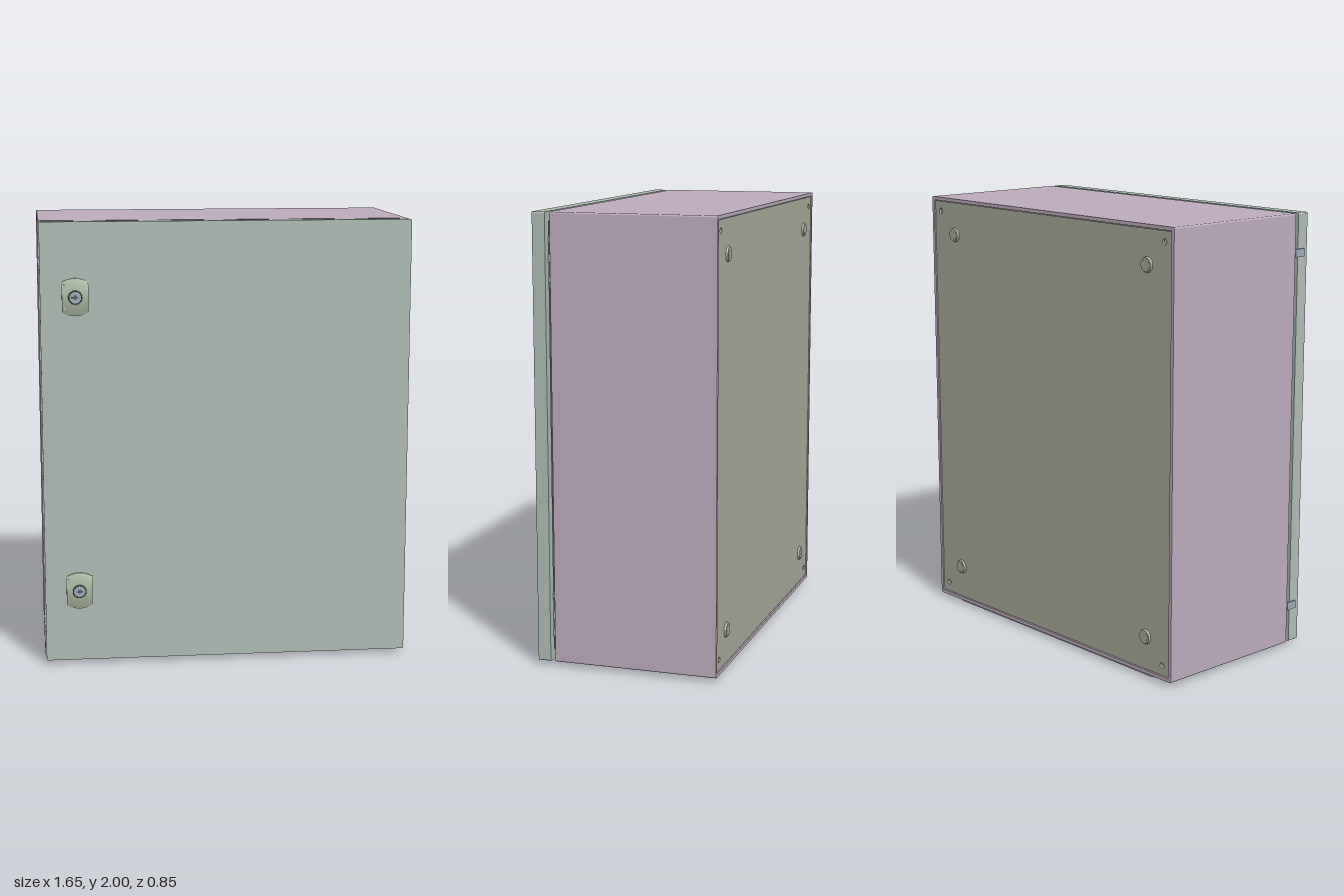
import * as THREE from 'three';

const material = (color) => new THREE.MeshStandardMaterial({ color, side: THREE.DoubleSide });
const MID = 1.01; // mid height of the cabinet

// Rounded rectangle outline centred on the origin
function outline(w, h, r, Type = THREE.Shape) {
  const s = new Type(), x = w / 2, y = h / 2;
  s.moveTo(-x + r, -y);
  s.lineTo(x - r, -y).absarc(x - r, -y + r, r, -Math.PI / 2, 0);
  s.lineTo(x, y - r).absarc(x - r, y - r, r, 0, Math.PI / 2);
  s.lineTo(-x + r, y).absarc(-x + r, y - r, r, Math.PI / 2, Math.PI);
  s.lineTo(-x, -y + r).absarc(-x + r, -y + r, r, Math.PI, Math.PI * 1.5);
  return s;
}

export function createModel() {
  const model = new THREE.Group();
  const bodyMat = material(0xbcabbc), doorMat = material(0xadbbb3), backMat = material(0xa8ac9c);
  const plateMat = material(0x9fa8ae), lockMat = material(0xa9b5a0), metalMat = material(0xa0abb8);
  const darkMat = material(0x555c60);

  function add(name, geometry, mat, x = 0, y = 0, z = 0, parent = model) {
    const mesh = new THREE.Mesh(geometry, mat);
    mesh.name = name;
    mesh.position.set(x, y, z);
    parent.add(mesh);
    return mesh;
  }
  const extrude = (shape, depth) =>
    new THREE.ExtrudeGeometry(shape, { depth, bevelEnabled: false, curveSegments: 6 });
  const box = (w, h, d) => new THREE.BoxGeometry(w, h, d);
  const disc = (rBack, rFront, depth) =>
    new THREE.CylinderGeometry(rFront, rBack, depth, 24).rotateX(Math.PI / 2);

  // Frame swept from z0 to z1, with a wall of the given width
  function frame(name, w, h, wall, z0, z1, mat, x = 0) {
    const s = outline(w, h, 0.008);
    s.holes.push(outline(w - 2 * wall, h - 2 * wall, 0.004, THREE.Path));
    return add(name, extrude(s, z1 - z0), mat, x, MID, z0);
  }

  // Sheet metal body: walls, front flange and raised sealing rim
  frame('bodyWalls', 1.65, 1.98, 0.016, -0.42, 0.32, bodyMat);
  frame('frontFlange', 1.63, 1.96, 0.07, 0.306, 0.319, bodyMat);
  frame('sealingRim', 1.53, 1.86, 0.015, 0.31, 0.345, bodyMat);

  // Back panel with a mounting hole in each corner and plugged bushings
  const back = outline(1.612, 1.942, 0.006);
  for (const sx of [-1, 1]) for (const sy of [-1, 1]) {
    const hole = new THREE.Path();
    hole.absarc(sx * 0.765, sy * 0.925, 0.013, 0, Math.PI * 2, true);
    back.holes.push(hole);
    add('cornerBushing', disc(0.013, 0.013, 0.02), backMat, sx * 0.765, MID + sy * 0.925, -0.395);
    add('wallPlug', disc(0.03, 0.037, 0.014), backMat, sx * 0.66, MID + sy * 0.82, -0.418);
    add('wallPlugCentre', disc(0.022, 0.025, 0.004), backMat, sx * 0.66, MID + sy * 0.82, -0.4235);
  }
  add('backPanel', extrude(back, 0.012), backMat, 0, MID, -0.416);

  // Door: front sheet with folded edges
  add('doorSheet', extrude(outline(1.645, 1.98, 0.006), 0.012), doorMat, 0.0025, MID, 0.388);
  frame('doorFold', 1.645, 1.98, 0.014, 0.342, 0.39, doorMat, 0.0025);
  frame('doorReturn', 1.64, 1.975, 0.04, 0.342, 0.35, doorMat, 0.0025);
  add('doorGasket', box(1.56, 1.89, 0.012), darkMat, 0, MID, 0.351);

  // Hinges on the left edge, clips on the opposite edge
  for (const s of [-1, 1]) {
    const hinge = new THREE.Group();
    hinge.name = 'hinge';
    model.add(hinge);
    for (const [off, h] of [[0.87, 0.03], [0.79, 0.035], [0.7, 0.025]]) {
      add('hingeKnuckle', box(0.03, h, 0.026), metalMat, 0.775, MID + s * off, 0.332, hinge);
    }
    add('hingePin', new THREE.CylinderGeometry(0.007, 0.007, 0.22, 12), metalMat,
      0.775, MID + s * 0.79, 0.332, hinge);
    add('edgeClip', box(0.008, 0.035, 0.055), metalMat, -0.824, MID + s * 0.815, 0.35);
    add('clipFoot', box(0.03, 0.02, 0.006), metalMat, -0.81, MID + s * 0.815, 0.326);
  }

  // Domed lock housing: straight sides, arched ends, bowed front
  const W = 0.058, H = 0.083;
  const housing = new THREE.BoxGeometry(2, 2, 1, 12, 16, 1);
  const p = housing.attributes.position;
  for (let i = 0; i < p.count; i++) {
    const x = p.getX(i), y = p.getY(i);
    const front = 0.021 - 0.014 * y * y - 0.002 * x * x;
    p.setXYZ(i, x * W, y * H * (1 - 0.2 * x * x), p.getZ(i) > 0 ? front : -0.002);
  }
  housing.computeVertexNormals();

  for (const y of [0.345, 1.672]) {
    const lock = new THREE.Group();
    lock.name = 'lock';
    lock.position.set(-0.667, y, 0.4);
    model.add(lock);
    add('lockHousing', housing, lockMat, 0, 0, 0, lock);
    add('lockGrip', box(0.005, 0.115, 0.012), lockMat, -0.046, 0, 0.009, lock);
    add('lockCollar', new THREE.TorusGeometry(0.028, 0.003, 8, 32), darkMat, 0, 0, 0.0205, lock);
    add('lockInsert', disc(0.026, 0.026, 0.012), metalMat, 0, 0, 0.0165, lock);
    add('keyPin', disc(0.009, 0.009, 0.004), darkMat, 0, 0, 0.0225, lock);
    add('keyBit', box(0.03, 0.005, 0.003), darkMat, 0, 0, 0.0225, lock);
  }

  // Gland plate with its screws underneath
  const gland = extrude(outline(1.46, 0.5, 0.06), 0.018).rotateX(-Math.PI / 2);
  add('glandPlate', gland, plateMat, 0, 0.004, -0.15);
  for (let i = -2; i <= 2; i++) for (const s of [-1, 1]) {
    add('glandScrew', new THREE.CylinderGeometry(0.01, 0.008, 0.006, 12), metalMat,
      i * 0.31, 0.003, -0.15 + s * 0.22);
  }

  return model;
}
